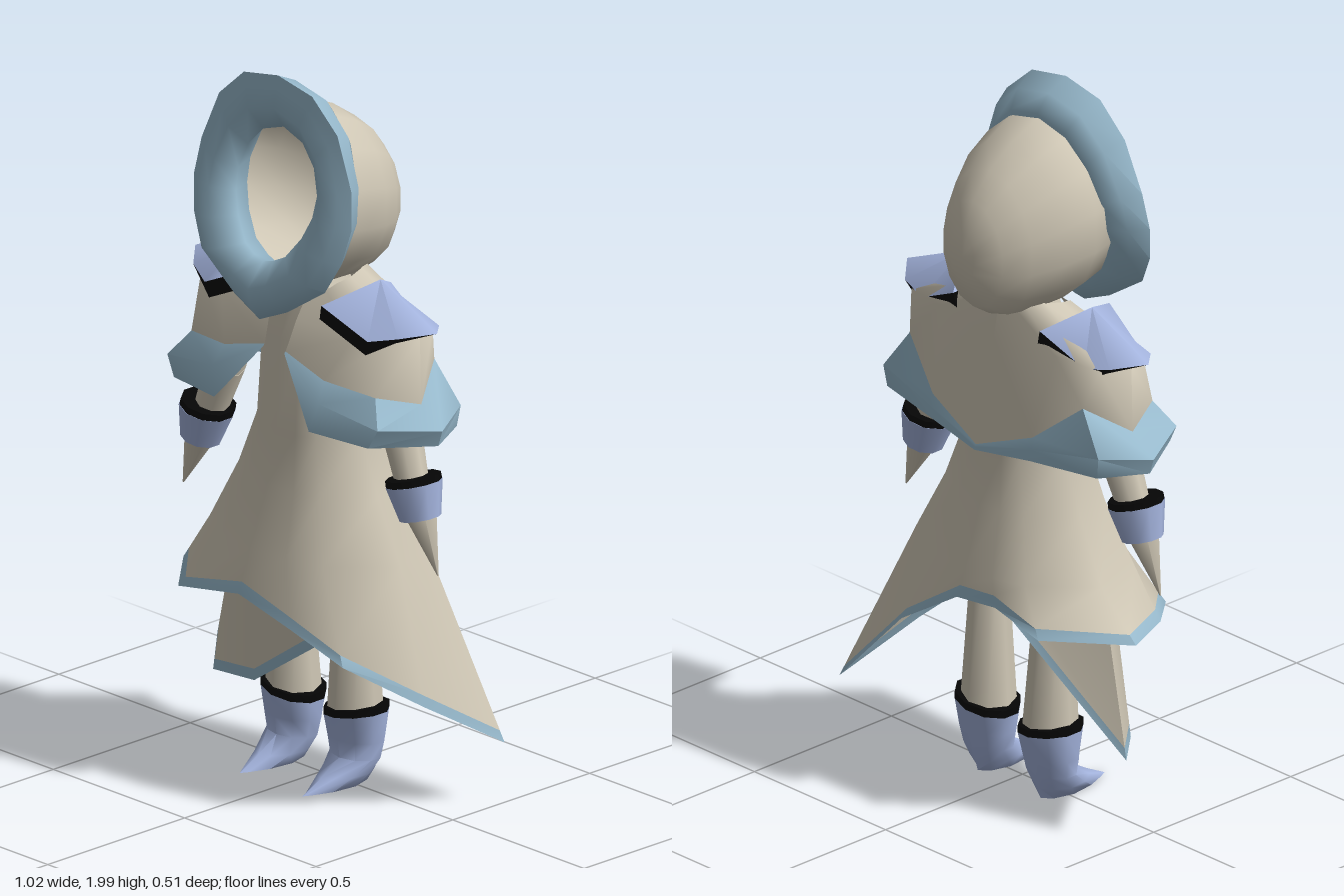
import * as THREE from 'three';
import { toCreasedNormals } from 'three/addons/utils/BufferGeometryUtils.js';

const mat = (name, color) => {
  const m = new THREE.MeshStandardMaterial({ color, side: THREE.DoubleSide });
  m.name = name;
  return m;
};

// Skin of quads through rows of points; rows share one length.
function loft(rows, { closed = true, capStart = false, capEnd = false, crease = 0.9 } = {}) {
  const n = rows[0].length, pos = rows.flat(), idx = [];
  for (let r = 0; r < rows.length - 1; r++) {
    for (let i = 0; i < (closed ? n : n - 1); i++) {
      const a = r * n + i, b = r * n + (i + 1) % n;
      idx.push(a, b, a + n, b, b + n, a + n);
    }
  }
  const cap = (row, base, flip) => {
    const c = [0, 1, 2].map(k => row.reduce((s, p) => s + p[k], 0) / n);
    pos.push(c);
    for (let i = 0; i < n; i++) {
      const a = base + i, b = base + (i + 1) % n;
      idx.push(...(flip ? [b, a] : [a, b]), pos.length - 1);
    }
  };
  if (capStart) cap(rows[0], 0, true);
  if (capEnd) cap(rows[rows.length - 1], (rows.length - 1) * n, false);
  const g = new THREE.BufferGeometry();
  g.setAttribute('position', new THREE.Float32BufferAttribute(pos.flat(), 3));
  g.setIndex(idx);
  return toCreasedNormals(g, crease);
}

const lerp3 = (a, b, t) => a.map((v, k) => v + (b[k] - v) * t);
// Moves a hem point towards the row above by a fixed length.
const backOff = (hem, top, d) => hem.map((p, i) =>
  lerp3(p, top[i], Math.min(0.6, d / Math.hypot(...p.map((v, k) => v - top[i][k])))));

export function createModel() {
  const cloth = mat('cream cloth', 0xcfc7b5);
  const trim = mat('pale blue trim', 0x97b9cc);
  const armour = mat('periwinkle armour', 0xa5b5df);
  const black = mat('black edging', 0x060606);

  const model = new THREE.Group();
  model.name = 'hoodedFigure';
  const figure = new THREE.Group();
  figure.name = 'figure';
  figure.position.x = -0.02;
  model.add(figure);
  const add = (parent, name, geo, m) => {
    const mesh = new THREE.Mesh(geo, m);
    mesh.name = name;
    parent.add(mesh);
    return mesh;
  };
  const limb = (parent, name, p, q, r1, r2, m, sides = 8) => {
    const a = new THREE.Vector3(...p), b = new THREE.Vector3(...q), d = a.clone().sub(b);
    const mesh = add(parent, name, new THREE.CylinderGeometry(r1, r2, d.length(), sides), m);
    mesh.position.copy(a).add(b).multiplyScalar(0.5);
    mesh.quaternion.setFromUnitVectors(new THREE.Vector3(0, 1, 0), d.normalize());
  };

  // Dress: bell shape ending in a slanted, uneven hem
  const hem = [[-.485, .56, -.05], [-.39, .54, .13], [-.28, .52, .255], [-.05, .56, .255],
    [.14, .51, .25], [.31, .44, .22], [.425, .31, .03], [.51, .18, -.18],
    [.19, .48, -.26], [0, .6, -.24], [-.12, .6, -.215], [-.3, .57, -.23]];
  const bell = [[1.4, .11, .08], [1.25, .17, .125], [1.0, .185, .14], [.85, .25, .165], [.68, .345, .22]]
    .map(([y, rx, rz]) => hem.map(p => {
      const a = Math.atan2(p[2] / .25, p[0] / .49);
      return [-.01 + rx * Math.cos(a), y, rz * Math.sin(a)];
    }));
  const hemTop = backOff(hem, bell[4], .034);
  add(model, 'dress', loft([...bell, hemTop], { capStart: true, crease: 1.2 }), cloth);
  add(model, 'dressHem', loft([hemTop, hem]), trim);

  // Lower wrap of the skirt on one side
  const wrapHem = [[.2, .47, .2], [-.11, .27, .14], [-.35, .215, .06], [-.49, .24, -.09], [-.15, .56, -.18]];
  const wrapTop = [[.18, .6, .19], [-.08, .62, .17], [-.22, .64, .11], [-.37, .62, -.05], [-.12, .66, -.16]];
  const wrapEdge = backOff(wrapHem, wrapTop, .034);
  add(model, 'skirtWrap', loft([wrapTop, wrapEdge], { closed: false }), cloth);
  add(model, 'skirtWrapHem', loft([wrapEdge, wrapHem], { closed: false }), trim);

  // Hood: upright ovals stacked from the face to the back of the head
  const hood = [[.1, .225, 1.9, 1.42], [.03, .235, 1.91, 1.4], [-.06, .21, 1.87, 1.395],
    [-.14, .165, 1.815, 1.4], [-.2, .115, 1.745, 1.44], [-.24, .045, 1.665, 1.53]]
    .map(([z, w, top, low]) => Array.from({ length: 14 }, (_, i) => {
      const a = i / 14 * Math.PI * 2;
      return [w * Math.sin(a), (top + low) / 2 + (top - low) / 2 * Math.cos(a), z];
    }));
  add(figure, 'hood', loft(hood, { capEnd: true, crease: 2 }), cloth);

  // Fur rim: egg-shaped padded ring leaning forward at the chin
  const half = [[0, 2, 0, 1.85], [.13, 1.975, .075, 1.825], [.225, 1.89, .125, 1.77],
    [.285, 1.75, .15, 1.7], [.3, 1.65, .145, 1.64], [.28, 1.55, .12, 1.58],
    [.235, 1.465, .075, 1.52], [.1, 1.375, .035, 1.5], [0, 1.33, 0, 1.49]];
  const eggs = [...half, ...half.slice(1, -1).reverse().map(([a, b, c, d]) => [-a, b, -c, d])];
  const rim = eggs.map(([ox, oy, ix, iy]) => {
    const at = (f, dz0, dz1) => {
      const y = oy + (iy - oy) * f, t = (2 - y) / .67;
      const sag = -.02 * Math.sin(Math.PI * Math.min(1, t * 1.3));
      return [ox + (ix - ox) * f, y, .14 + (2 - y) * .1 + sag + dz0 + (dz1 - dz0) * t];
    };
    return [at(0, 0, 0), at(.25, .005, .04), at(.6, .01, .06), at(1, -.03, .015),
      at(.85, -.09, -.05), at(.5, -.11, -.06), at(.2, -.065, -.035)];
  });
  add(figure, 'hoodFurRim', loft([...rim, rim[0]], { crease: 1.5 }), trim);

  // Cape columns from front edge to back centre: collar, shoulder, trim top, trim belly, trim bottom
  const cape = [
    [[.05, 1.4, .07], [.05, 1.32, .12], [.04, 1.235, .15], [.04, 1.233, .153], [.04, 1.23, .155]],
    [[.1, 1.4, .06], [.25, 1.32, .105], [.19, 1.195, .155], [.2, 1.14, .185], [.18, 1.06, .2]],
    [[.12, 1.42, .04], [.36, 1.33, .075], [.35, 1.18, .12], [.4, 1.11, .16], [.37, 1.055, .165]],
    [[.13, 1.43, 0], [.395, 1.33, 0], [.4, 1.145, 0], [.48, 1.09, 0], [.465, 1.045, 0]],
    [[.12, 1.44, -.05], [.36, 1.33, -.08], [.33, 1.225, -.115], [.41, 1.11, -.135], [.4, 1.05, -.13]],
    [[.07, 1.45, -.09], [.22, 1.34, -.11], [.19, 1.11, -.165], [.195, 1.08, -.175], [.19, 1.045, -.175]],
    [[0, 1.45, -.1], [0, 1.32, -.125], [0, 1.035, -.19], [0, 1.028, -.193], [0, 1.02, -.195]]];

  for (const s of [1, -1]) {
    const side = new THREE.Group();
    side.name = s > 0 ? 'leftSide' : 'rightSide';
    figure.add(side);
    const m = ([x, y, z]) => [x * s, y, z];

    add(side, 'cape', loft(cape.map(c => c.slice(0, 3).map(m)), { closed: false, crease: 1.2 }), cloth);
    add(side, 'capeTrim', loft(cape.map(c => c.slice(2).map(m)), { closed: false }), trim);

    // Shoulder guard: tent-shaped plate over a black lining
    const peak = m([.245, 1.455, 0]), tip = m([.46, 1.36, 0]);
    const eave = [[.165, 1.395, .14], [.31, 1.325, .11], [.39, 1.345, .075], [.46, 1.36, 0],
      [.39, 1.345, -.075], [.31, 1.325, -.09], [.165, 1.395, -.115]].map(m);
    const drop = eave.map((p, i) => i === 3 ? tip
      : [p[0] - s * .012, p[1] - (i === 2 || i === 4 ? .015 : .042), p[2] * .96]);
    add(side, 'shoulderGuard', loft([eave.map(() => peak), eave], { crease: 1.3 }), armour);
    add(side, 'shoulderGuardLining', loft([eave, drop], { capEnd: true, crease: .4 }), black);

    // Arm, cuff and pointed hand
    limb(side, 'upperArm', m([.26, 1.3, 0]), m([.335, 1.06, .01]), .06, .054, cloth);
    limb(side, 'forearm', m([.335, 1.06, .01]), m([.4, .88, .02]), .054, .042, cloth);
    limb(side, 'cuffEdge', m([.389, .945, .02]), m([.394, .925, .02]), .075, .076, black, 10);
    limb(side, 'cuff', m([.394, .927, .02]), m([.418, .835, .02]), .077, .056, armour, 10);
    limb(side, 'hand', m([.418, .85, .02]), m([.485, .69, .02]), .046, .002, cloth, 6);

    // Leg
    limb(side, 'leg', m([.123, .72, -.02]), m([.118, .2, -.03]), .042, .075, cloth);

    // Boot: cross-sections down to a flat sole with a pointed toe
    const ring = (y, rx, back, front, { tilt = 0, point = 0 } = {}) => Array.from({ length: 10 }, (_, i) => {
      const a = i / 10 * Math.PI * 2, c = Math.cos(a);
      const x = rx * Math.sin(a) * (1 - point * Math.max(0, c));
      return m([.12 + x, y + x * tilt, (front + back) / 2 + (front - back) / 2 * c]);
    });
    const cuffTop = ring(.218, .094, -.115, .052, { tilt: .16 });
    const cuffLow = ring(.197, .095, -.114, .05, { tilt: .16 });
    add(side, 'bootEdge', loft([cuffTop, cuffLow], { capStart: true }), black);
    add(side, 'boot', loft([cuffLow, ring(.13, .09, -.098, .036), ring(.08, .08, -.087, .03),
      ring(.04, .068, -.077, .098, { point: .3 }), ring(.006, .045, -.068, .165, { point: .7 })],
    { capEnd: true, crease: 1.2 }), armour);
  }
  return model;
}
